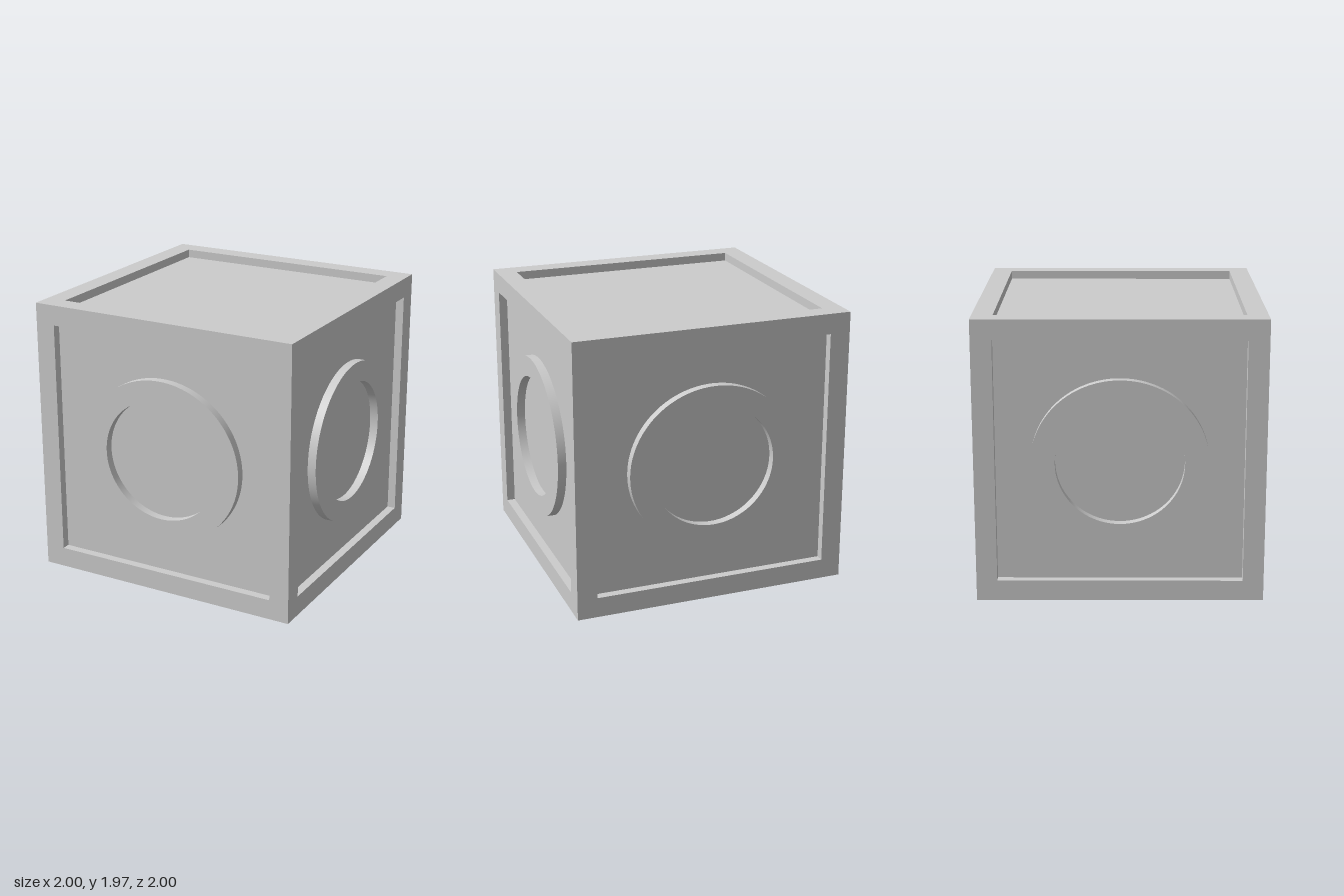
import * as THREE from 'three';
import { toCreasedNormals } from 'three/addons/utils/BufferGeometryUtils.js';

const SIZE = 1.972;    // cube edge
const BORDER = 0.143;  // width of the frame bars
const DEPTH = 0.06;    // how far the panels are set back
const TURN = -0.0145;  // slight turn of the whole cube

const material = new THREE.MeshStandardMaterial({ color: 0xcccccc });

function addMesh(parent, name, geometry, x = 0, y = 0, z = 0) {
  const mesh = new THREE.Mesh(geometry, material);
  mesh.name = name;
  mesh.position.set(x, y, z);
  parent.add(mesh);
  return mesh;
}

// Flat oval ring, its back on z = 0
function ringGeometry() {
  const shape = new THREE.Shape();
  shape.absellipse(0, 0, 0.602, 0.575, 0, Math.PI * 2, false);
  const hole = new THREE.Path();
  hole.absellipse(0, 0, 0.438, 0.43, 0, Math.PI * 2, true);
  shape.holes.push(hole);
  const geometry = new THREE.ExtrudeGeometry(shape, {
    depth: DEPTH, bevelEnabled: false, curveSegments: 96,
  });
  return toCreasedNormals(geometry, Math.PI / 6);
}

export function createModel() {
  const model = new THREE.Group();
  model.name = 'framedCube';
  const cube = new THREE.Group();
  cube.name = 'cube';
  cube.position.y = SIZE / 2;
  cube.rotation.y = TURN;
  model.add(cube);

  // Inner block whose sides are the recessed panels
  const inner = SIZE - 2 * DEPTH;
  addMesh(cube, 'panels', new THREE.BoxGeometry(inner, inner, inner));

  // Frame: four full-height posts and eight rails between them
  const span = SIZE - 2 * BORDER;
  const offset = (SIZE - BORDER) / 2;
  const post = new THREE.BoxGeometry(BORDER, SIZE, BORDER);
  const railX = new THREE.BoxGeometry(span, BORDER, BORDER);
  const railZ = new THREE.BoxGeometry(BORDER, BORDER, span);
  for (const a of [-offset, offset]) {
    for (const b of [-offset, offset]) {
      addMesh(cube, 'framePost', post, a, 0, b);
      addMesh(cube, 'frameRailAcross', railX, 0, a, b);
      addMesh(cube, 'frameRailDeep', railZ, a, b, 0);
    }
  }

  // A raised ring on each of the four upright sides, flush with the frame
  const ring = ringGeometry();
  ['front', 'left', 'back', 'right'].forEach((side, i) => {
    const angle = i * Math.PI / 2;
    const mesh = addMesh(cube, side + 'Ring', ring,
      Math.sin(angle) * inner / 2, 0, Math.cos(angle) * inner / 2);
    mesh.rotation.y = angle;
  });

  return model;
}
